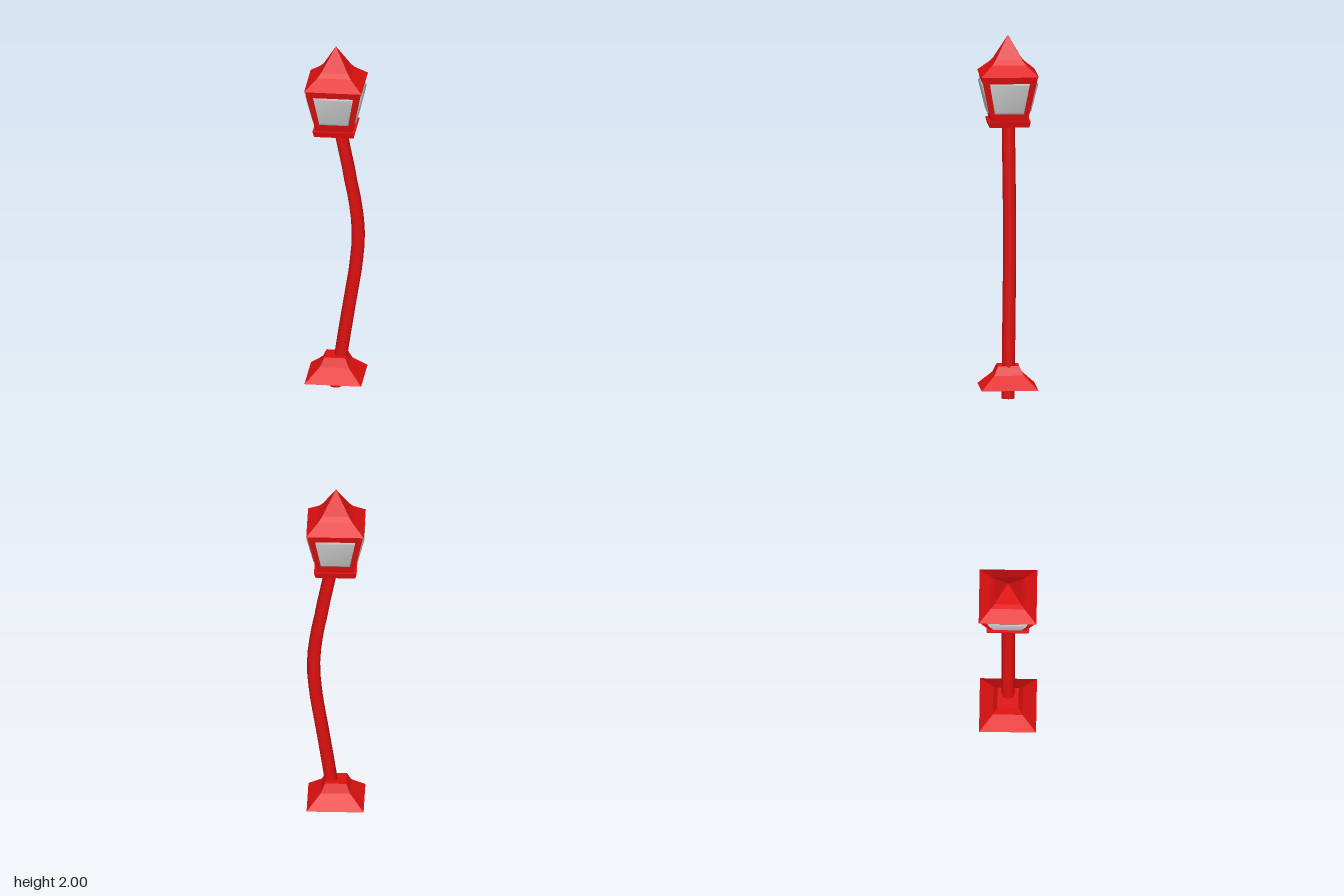
import * as THREE from 'three';

const red = new THREE.MeshStandardMaterial({ color: 0xe01010 });
const redFlat = new THREE.MeshStandardMaterial({ color: 0xe01010, flatShading: true });
const grey = new THREE.MeshStandardMaterial({ color: 0xcccccc });

// Square-sectioned solid from [half width, y] pairs, listed bottom to top
function squareLoft(name, profile) {
  const points = profile.map(([half, y]) => new THREE.Vector2(half * Math.SQRT2, y));
  const mesh = new THREE.Mesh(new THREE.LatheGeometry(points, 4, Math.PI / 4), redFlat);
  mesh.name = name;
  return mesh;
}

// Bent pole: an eight-sided cylinder whose rings slide along x
function makePole() {
  const height = 1.52;
  const bend = new THREE.SplineCurve([
    [0, 0], [0.03, 0.2], [0.068, 0.46], [0.106, 0.7], [0.122, 0.88],
    [0.112, 1.04], [0.078, 1.23], [0.024, 1.52],
  ].map(([x, y]) => new THREE.Vector2(x, y)));
  const samples = bend.getPoints(140);
  const offsetAt = (y) => samples.reduce((a, b) => (Math.abs(b.y - y) < Math.abs(a.y - y) ? b : a)).x;

  const geometry = new THREE.CylinderGeometry(0.036, 0.036, height, 8, 20);
  geometry.translate(0, height / 2, 0);
  const pos = geometry.attributes.position;
  for (let i = 0; i < pos.count; i++) pos.setX(i, pos.getX(i) + offsetAt(pos.getY(i)));
  const mesh = new THREE.Mesh(geometry, red);
  mesh.name = 'pole';
  return mesh;
}

// Pillowed glass pane on the +z side: rim on the frame, face standing proud
function makePaneGeometry() {
  const rim = [[-0.08, 1.577, 0.108], [0.08, 1.577, 0.108], [0.109, 1.75, 0.145], [-0.109, 1.75, 0.145]];
  const face = [[-0.075, 1.59, 0.121], [0.075, 1.59, 0.121], [0.1, 1.74, 0.157], [-0.1, 1.74, 0.157]];
  const index = [4, 5, 6, 4, 6, 7];
  for (let i = 0; i < 4; i++) {
    const j = (i + 1) % 4;
    index.push(i, j, j + 4, i, j + 4, i + 4);
  }
  const geometry = new THREE.BufferGeometry();
  geometry.setAttribute('position', new THREE.Float32BufferAttribute([...rim, ...face].flat(), 3));
  geometry.setIndex(index);
  geometry.computeVertexNormals();
  return geometry;
}

export function createModel() {
  const model = new THREE.Group();
  model.name = 'streetLamp';

  // Foot and pole
  model.add(squareLoft('foot', [[0, 0.063], [0.155, 0.063], [0.08, 0.136], [0.058, 0.185], [0, 0.185]]));
  model.add(makePole());

  // Lantern: collar, tapered frame and roof
  const lantern = new THREE.Group();
  lantern.name = 'lantern';
  lantern.add(squareLoft('collar', [[0, 1.505], [0.108, 1.505], [0.116, 1.537], [0, 1.537]]));
  lantern.add(squareLoft('frame', [[0, 1.535], [0.1, 1.535], [0.153, 1.787], [0, 1.787]]));
  lantern.add(squareLoft('roof', [[0, 1.787], [0.157, 1.787], [0.092, 1.845], [0.073, 1.87], [0, 2]]));

  // Four glass panes
  const paneGeometry = makePaneGeometry();
  for (let i = 0; i < 4; i++) {
    const pane = new THREE.Mesh(paneGeometry, grey);
    pane.name = 'glassPane';
    pane.rotation.y = (i * Math.PI) / 2;
    lantern.add(pane);
  }
  model.add(lantern);
  return model;
}
